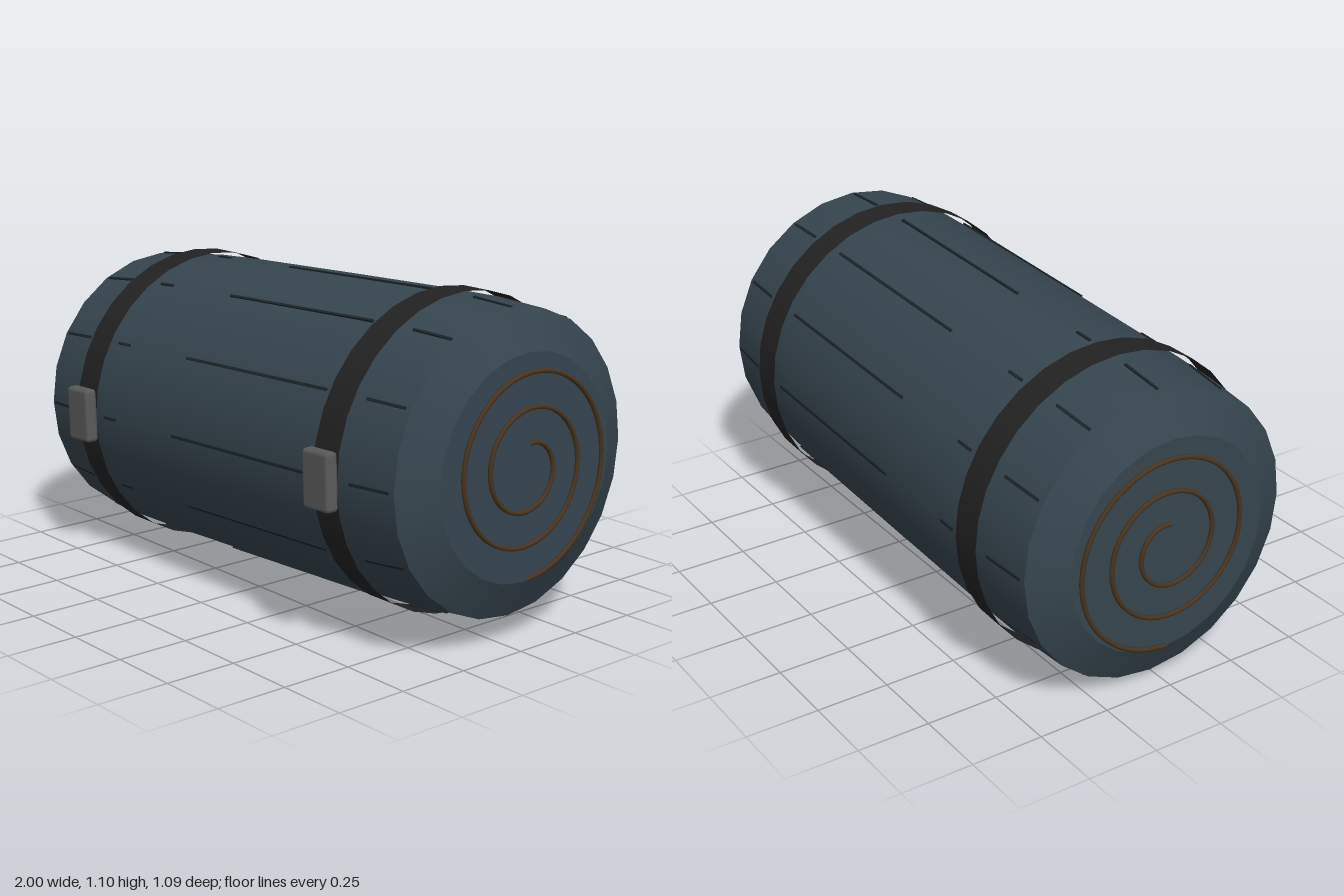
import * as THREE from 'three';
import { RoundedBoxGeometry } from 'three/addons/geometries/RoundedBoxGeometry.js';

const Z = -0.02;                              // axis offset
const axisY = x => 0.555 + 0.0385 * x;        // the roll climbs slightly to +x

const material = (name, color, side = THREE.FrontSide) => {
  const m = new THREE.MeshStandardMaterial({ color, side });
  m.name = name;
  return m;
};

// Move a geometry built around the x axis onto the sloping axis of the roll
function shear(geo) {
  const p = geo.attributes.position;
  for (let i = 0; i < p.count; i++) {
    p.setY(i, p.getY(i) + axisY(p.getX(i)));
    p.setZ(i, p.getZ(i) + Z);
  }
  return geo;
}

export function createModel() {
  const group = new THREE.Group();
  group.name = 'bedroll';
  const fabric = material('slateFabric', 0x36454f);
  const fold = material('darkFold', 0x1b2429);
  const webbing = material('blackWebbing', 0x222222, THREE.DoubleSide);
  const metal = material('greyBuckle', 0x5a5a5a);
  const cord = material('brownCord', 0x4a3520);

  const add = (name, geo, mat, parent = group) => {
    const mesh = new THREE.Mesh(geo, mat);
    mesh.name = name;
    parent.add(mesh);
    return mesh;
  };

  // Surface of revolution about x from [x, radius] pairs
  const turned = (pts, segments = 24) => shear(new THREE.LatheGeometry(
    pts.map(([x, r]) => new THREE.Vector2(r, x)), segments).rotateZ(-Math.PI / 2));

  // Rolled body, with separate bevels and end discs for crisp edges
  add('rollSide', turned([[-0.92, 0.493], [-0.72, 0.508], [-0.5, 0.512], [0, 0.513],
    [0.5, 0.512], [0.72, 0.508], [0.92, 0.493]]), fabric);
  add('rightBevel', turned([[-0.985, 0.367], [-0.92, 0.493]]), fabric);
  add('leftBevel', turned([[0.92, 0.493], [0.985, 0.367]]), fabric);
  add('rightEndDisc', turned([[-0.985, 0], [-0.985, 0.367]]), fabric);
  add('leftEndDisc', turned([[0.985, 0.367], [0.985, 0]]), fabric);

  // Lengthwise folds: thin strips between two [x, radius] points
  const folds = new THREE.Group();
  folds.name = 'folds';
  group.add(folds);
  const runs = [
    [-0.9, 0.494, -0.74, 0.507], [-0.56, 0.512, -0.49, 0.512],
    [-0.16, 0.513, 0.56, 0.513], [0.74, 0.507, 0.9, 0.494],
  ];
  for (let i = 0; i < 12; i++) {
    for (const [x0, r0, x1, r1] of runs) {
      const geo = new THREE.BoxGeometry(Math.hypot(x1 - x0, r1 - r0), 0.009, 0.009)
        .rotateZ(Math.atan2(r1 - r0, x1 - x0))
        .translate((x0 + x1) / 2, (r0 + r1) / 2, 0)
        .rotateX(i * Math.PI / 6);
      add('fold', shear(geo), fold, folds);
    }
  }

  // Straps with a buckle at the front of each
  for (const [side, x] of [['right', -0.65], ['left', 0.645]]) {
    const strap = add(side + 'Strap',
      new THREE.CylinderGeometry(0.525, 0.525, 0.112, 32, 1, true).rotateZ(Math.PI / 2), webbing);
    strap.position.set(x, axisY(x), Z);
    const buckle = add(side + 'Buckle', new RoundedBoxGeometry(0.122, 0.19, 0.048, 1, 0.014), metal);
    buckle.position.set(x, axisY(x) + 0.004, 0.524);
    buckle.rotation.z = 0.04;
  }

  // Spiral cord on each end, two and a half turns
  const spiral = [];
  for (let i = 0; i <= 60; i++) {
    const t = i / 60, a = t * Math.PI * 5, r = 0.08 + 0.28 * t;
    spiral.push(new THREE.Vector3(0, r * Math.cos(a), -r * Math.sin(a)));
  }
  const path = new THREE.CatmullRomCurve3(spiral);
  for (const [side, s] of [['right', -1], ['left', 1]]) {
    const geo = new THREE.TubeGeometry(path, 140, 0.008, 6).translate(s * 0.991, 0, 0);
    add(side + 'Spiral', shear(geo), cord);
  }
  return group;
}
